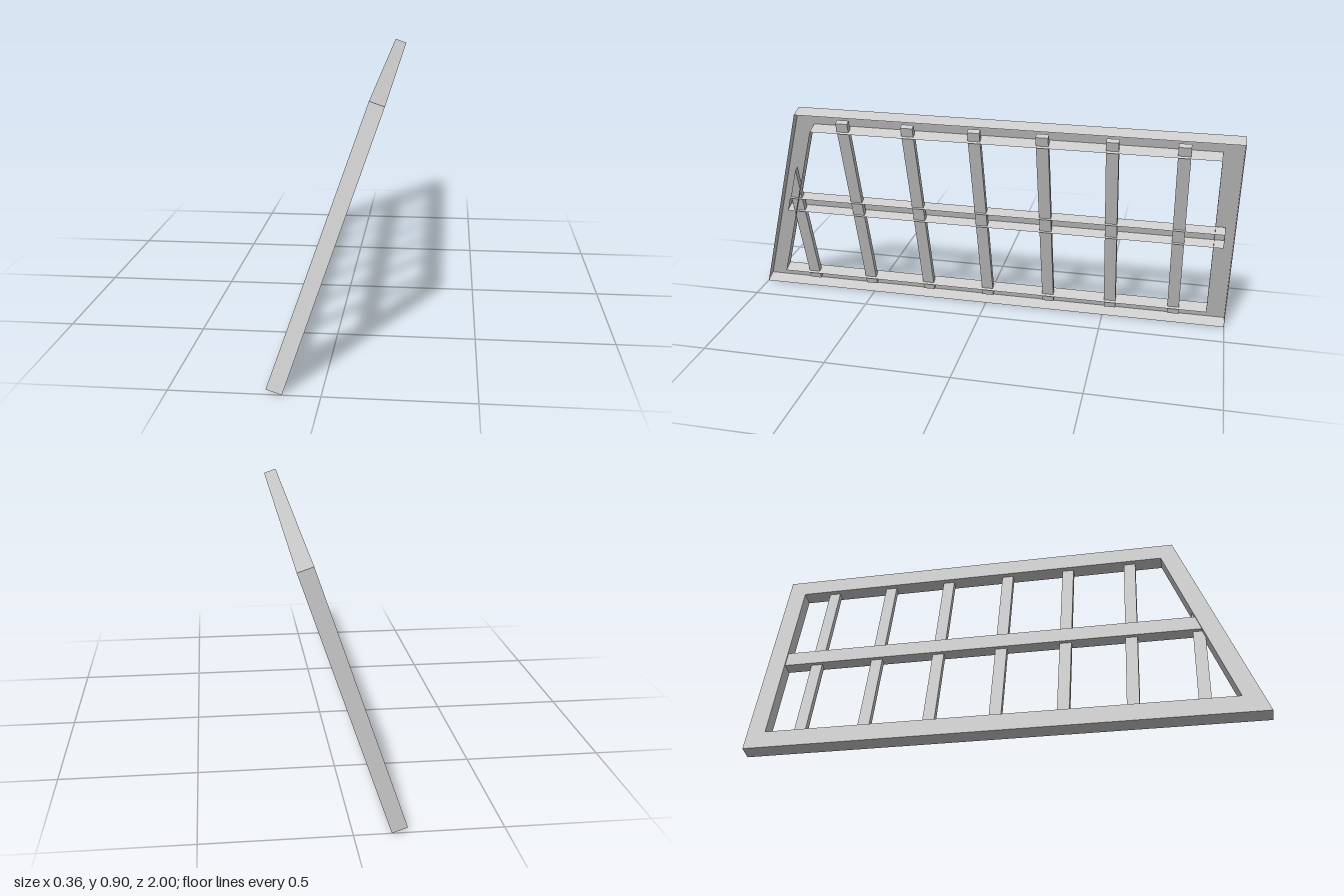
import * as THREE from 'three';

const LENGTH = 0.933;   // along the slope
const DEPTH = 0.055;    // frame thickness
const BORDER = 0.077;   // frame member width
const TILT = 0.331;     // lean from vertical

const material = new THREE.MeshStandardMaterial({ color: 0xcccccc, flatShading: true, side: THREE.DoubleSide });

// Plane coordinates: a runs towards the back, b runs up the slope.
// The front end is raked; inset moves the line inwards.
const rakedEnd = (b, inset = 0) => -1 + 0.332 * b + inset;

// Four-sided outline between two heights, raked at the front and square at the back
const rakedOutline = (b0, b1, inset, back) => [
  [rakedEnd(b0, inset), b0], [back, b0], [back, b1], [rakedEnd(b1, inset), b1],
].map(([a, b]) => new THREE.Vector2(a, b));

function addMesh(parent, name, geometry) {
  const mesh = new THREE.Mesh(geometry, material);
  mesh.name = name;
  parent.add(mesh);
}

// Side walls that follow a closed outline
function wallGeometry(points, depth) {
  const positions = [];
  points.forEach((p, i) => {
    const q = points[(i + 1) % points.length];
    positions.push(
      p.x, p.y, 0, q.x, q.y, depth, q.x, q.y, 0,
      p.x, p.y, 0, p.x, p.y, depth, q.x, q.y, depth);
  });
  const geometry = new THREE.BufferGeometry();
  geometry.setAttribute('position', new THREE.Float32BufferAttribute(positions, 3));
  geometry.computeVertexNormals();
  return geometry;
}

// Hollow tray: a face plate with walls, open on its underside
function tray(name, outline, depth, hole) {
  const group = new THREE.Group();
  group.name = name;
  const shape = new THREE.Shape(outline);
  if (hole) shape.holes.push(new THREE.Path(hole));
  addMesh(group, name + 'Face', new THREE.ShapeGeometry(shape));
  addMesh(group, name + 'OuterWalls', wallGeometry(outline, depth));
  if (hole) addMesh(group, name + 'InnerWalls', wallGeometry([...hole].reverse(), depth));
  return group;
}

// Solid bar, its top cut parallel to the raked end where it would pass it
function barGeometry(a, width, bottom, top, thickness) {
  const a0 = a - width / 2, a1 = a + width / 2;
  const limit = (x) => Math.min(top, (x + 1 - BORDER / 2) / 0.332);
  const shape = new THREE.Shape([
    new THREE.Vector2(a0, bottom), new THREE.Vector2(a1, bottom),
    new THREE.Vector2(a1, limit(a1)), new THREE.Vector2(a0, limit(a0)),
  ]);
  return new THREE.ExtrudeGeometry(shape, { depth: thickness, bevelEnabled: false });
}

export function createModel() {
  const model = new THREE.Group();
  model.name = 'slantedGrille';

  // Leaning plane that carries every part
  const panel = new THREE.Group();
  panel.name = 'panel';
  const up = new THREE.Vector3(Math.sin(TILT), Math.cos(TILT), 0);
  const along = new THREE.Vector3(0, 0, -1);
  const out = new THREE.Vector3().crossVectors(along, up);
  panel.quaternion.setFromRotationMatrix(new THREE.Matrix4().makeBasis(along, up, out));
  panel.position.set(-0.178, 0.018, 0);
  model.add(panel);

  // Border frame
  panel.add(tray('frame',
    rakedOutline(0, LENGTH, 0, 1), DEPTH,
    rakedOutline(BORDER, LENGTH - BORDER, 0.075, 0.925)));

  // Middle rail, ending inside the frame members
  const rail = tray('middleRail',
    rakedOutline(LENGTH / 2 - 0.034, LENGTH / 2 + 0.034, 0.037, 0.963), 0.046);
  rail.position.z = 0.005;
  panel.add(rail);

  // Seven cross bars
  const bars = new THREE.Group();
  bars.name = 'crossBars';
  bars.position.z = 0.018;
  for (let i = 0; i < 7; i++) {
    addMesh(bars, 'crossBar', barGeometry(-0.77 + i * 0.26, 0.047, 0.038, LENGTH - 0.038, 0.024));
  }
  panel.add(bars);

  return model;
}
